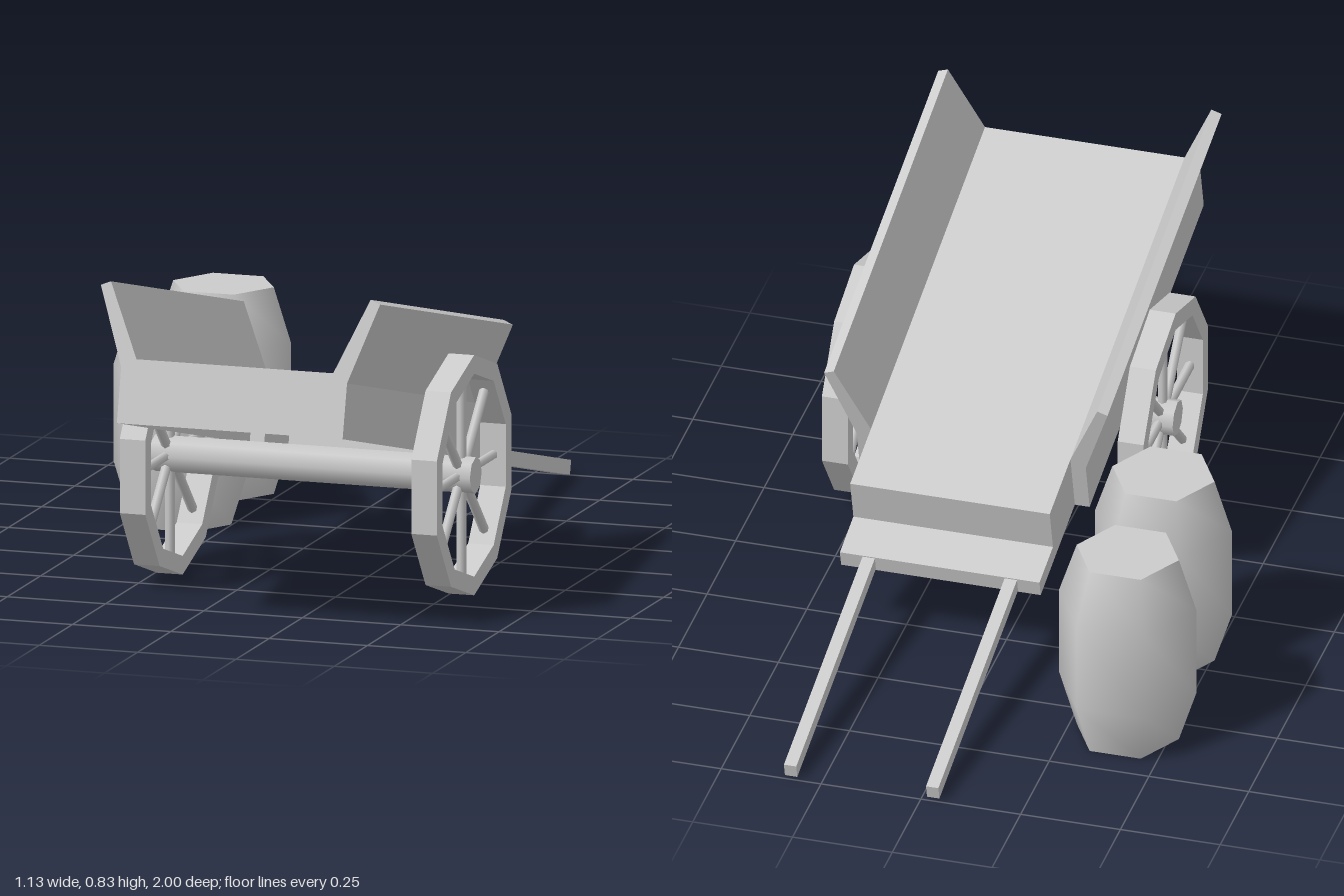
import * as THREE from 'three';

const gray = new THREE.MeshStandardMaterial({ color: 0xcccccc });
gray.name = 'light gray';
gray.side = THREE.DoubleSide;

function add(parent, name, geometry, x = 0, y = 0, z = 0) {
  const mesh = new THREE.Mesh(geometry, gray);
  mesh.name = name;
  mesh.position.set(x, y, z);
  parent.add(mesh);
  return mesh;
}

// Sheet made by sweeping an open x/y outline from z0 to z1
function sweep(points, z0, z1) {
  const pos = [];
  for (let i = 0; i < points.length - 1; i++) {
    const [ax, ay] = points[i], [bx, by] = points[i + 1];
    const a = [ax, ay, z0], b = [ax, ay, z1], c = [bx, by, z1], d = [bx, by, z0];
    pos.push(...a, ...b, ...c, ...a, ...c, ...d);
  }
  const g = new THREE.BufferGeometry();
  g.setAttribute('position', new THREE.Float32BufferAttribute(pos, 3));
  g.computeVertexNormals();
  return g;
}

const face = (points) =>
  new THREE.ShapeGeometry(new THREE.Shape(points.map(([x, y]) => new THREE.Vector2(x, y))));
const mirrored = (half) => [...half, ...half.map(([x, y]) => [-x, y]).reverse()];

function makeBody() {
  const body = new THREE.Group();
  body.name = 'tiltedBody';
  body.position.set(0.15, 0.256, 0);
  body.rotation.x = -THREE.MathUtils.degToRad(14.25);
  const front = 1.032, deckRear = -0.187, ledgeRear = -0.309, deckTop = 0.157;

  // Bed with flared side boards, open underneath
  const half = [[-0.287, 0], [-0.287, 0.135], [-0.355, 0.33], [-0.33, 0.34], [-0.25, deckTop]];
  add(body, 'bed', sweep(mirrored(half), 0, front));
  add(body, 'bedFront', face(mirrored(half)), 0, 0, front);
  const flap = [...half, [-0.25, 0]];
  for (const s of [-1, 1]) {
    const g = face(flap.map(([x, y]) => [x * s, y])).rotateY(Math.PI);
    add(body, 'sideBoardEnd', g);
  }

  // Narrow rear deck and the low ledge behind it
  const channel = (h) => mirrored([[-0.25, 0], [-0.25, h]]);
  add(body, 'rearDeck', sweep(channel(deckTop), deckRear, 0));
  add(body, 'rearDeckEnd', face(channel(deckTop)).rotateY(Math.PI), 0, 0, deckRear);
  add(body, 'ledge', sweep(channel(0.043), ledgeRear, deckRear));
  add(body, 'ledgeEnd', face(channel(0.043)).rotateY(Math.PI), 0, 0, ledgeRear);

  // Pull handles
  const length = 1.02 + ledgeRear;
  for (const s of [-1, 1]) {
    add(body, 'handle', new THREE.BoxGeometry(0.031, 0.036, length),
      s * 0.178, 0.022, ledgeRear - length / 2);
  }
  return body;
}

function makeWheel() {
  const wheel = new THREE.Group();
  wheel.name = 'wheel';
  const ring = (r) => Array.from({ length: 10 }, (_, i) => {
    const a = Math.PI / 2 + (i * Math.PI) / 5;
    return new THREE.Vector2(r * Math.cos(a), r * Math.sin(a));
  });
  // Ten-sided rim
  const shape = new THREE.Shape(ring(0.296));
  shape.holes.push(new THREE.Path(ring(0.25)));
  const rim = new THREE.ExtrudeGeometry(shape, { depth: 0.065, bevelEnabled: false });
  rim.translate(0, 0, -0.0325).rotateY(Math.PI / 2);
  add(wheel, 'rim', rim);
  // Eight spokes
  for (let i = 0; i < 8; i++) {
    const spoke = new THREE.CylinderGeometry(0.012, 0.012, 0.255, 6);
    spoke.translate(0, 0.1275, 0).rotateX((i * Math.PI) / 4);
    add(wheel, 'spoke', spoke);
  }
  return wheel;
}

function makeBarrel(x, z) {
  const barrel = new THREE.Group();
  barrel.name = 'barrel';
  barrel.position.set(x, 0, z);
  // Six-sided bulging staves
  const profile = [[0.128, 0.006], [0.172, 0.145], [0.172, 0.38], [0.128, 0.515]];
  const staves = new THREE.LatheGeometry(profile.map(([r, y]) => new THREE.Vector2(r, y)), 6);
  add(barrel, 'staves', staves.rotateY(Math.PI / 2));
  // Flat lid and base
  add(barrel, 'lid', new THREE.CircleGeometry(0.128, 6).rotateX(-Math.PI / 2), 0, 0.515, 0);
  add(barrel, 'base', new THREE.CircleGeometry(0.128, 6).rotateX(Math.PI / 2), 0, 0.006, 0);
  return barrel;
}

export function createModel() {
  const model = new THREE.Group();
  model.name = 'handCart';
  model.add(makeBody());

  // Wheels on a common axle whose ends form the hubs
  for (const x of [-0.213, 0.528]) {
    const wheel = makeWheel();
    wheel.position.set(x, 0.302, 0.375);
    model.add(wheel);
  }
  add(model, 'axle', new THREE.CylinderGeometry(0.045, 0.045, 0.815, 8).rotateZ(Math.PI / 2),
    0.157, 0.302, 0.375);

  model.add(makeBarrel(-0.395, -0.568), makeBarrel(-0.38, -0.203));
  return model;
}
